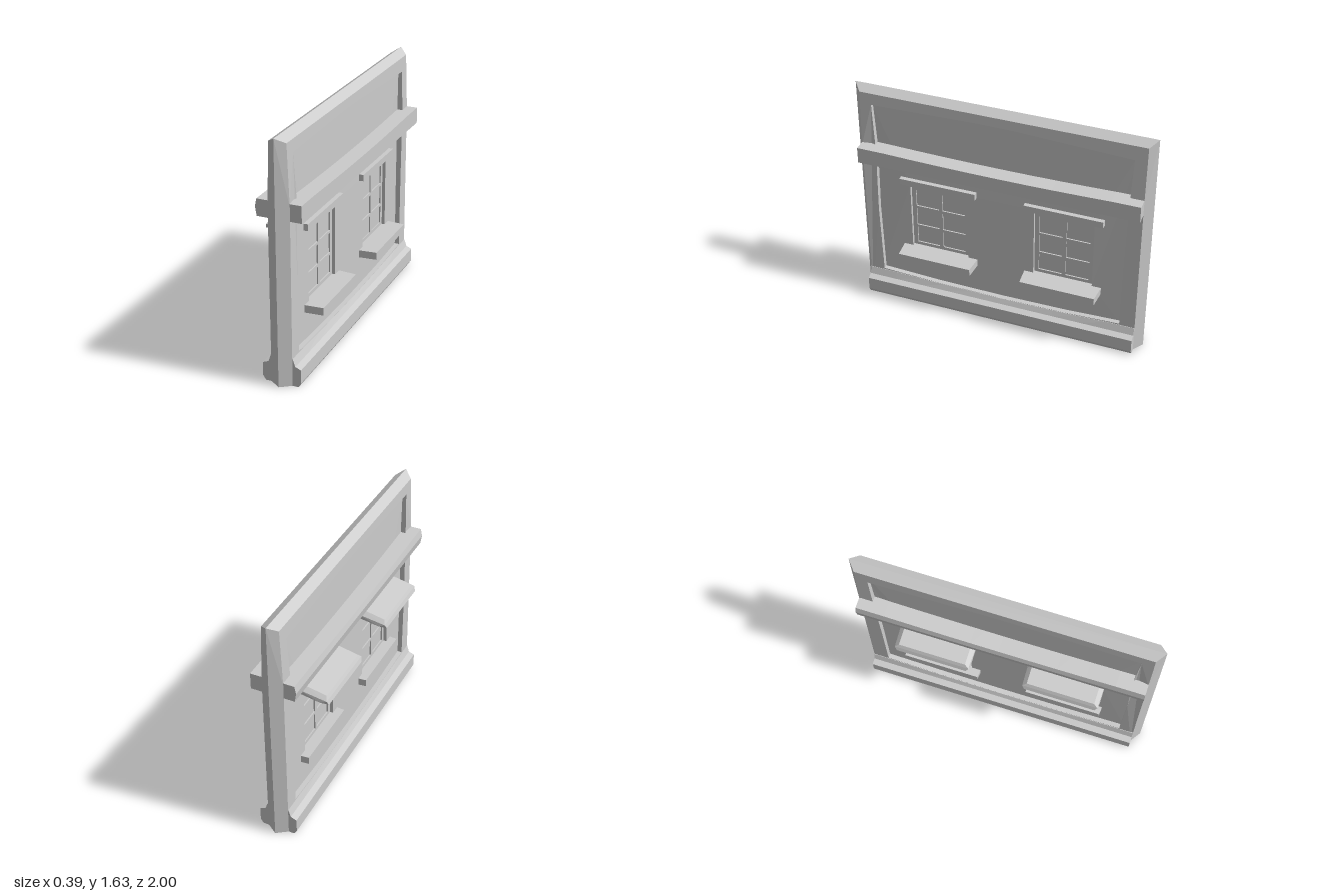
import * as THREE from 'three';
import { ConvexGeometry } from 'three/addons/geometries/ConvexGeometry.js';

const MID = 0.03; // x of the wall's centre plane
const grey = new THREE.MeshStandardMaterial({ color: 0xcccccc, flatShading: true });
const V = (x, y, z) => new THREE.Vector3(x, y, z);

function add(parent, name, geometry) {
  const mesh = new THREE.Mesh(geometry, grey);
  mesh.name = name;
  parent.add(mesh);
  return mesh;
}

const pts = list => list.map(([a, b]) => new THREE.Vector2(a, b));
const rect = (z0, z1, y0, y1) => [[z0, y0], [z1, y0], [z1, y1], [z0, y1]];

// Slab drawn in (z, y), running from x0 to x1
function slab(outline, holes, x0, x1) {
  const shape = new THREE.Shape(pts(outline));
  holes.forEach(h => shape.holes.push(new THREE.Path(pts(h))));
  const g = new THREE.ExtrudeGeometry(shape, { depth: x1 - x0, bevelEnabled: false });
  return g.rotateY(-Math.PI / 2).translate(x1, 0, 0);
}

// Move vertices by a rule
function warp(g, rule) {
  const p = g.attributes.position, v = new THREE.Vector3();
  for (let i = 0; i < p.count; i++) {
    rule(v.fromBufferAttribute(p, i));
    p.setXYZ(i, v.x, v.y, v.z);
  }
  g.computeVertexNormals();
  return g;
}

// The wall becomes thinner above the cornice
const taper = v => {
  if (v.y > 1.2) v.x = MID + (v.x - MID) * (1 - 0.2 * (v.y - 1.2) / 0.39);
};

// Moulding with an (x, y) profile along z whose upper edge sags in the middle
function moulding(profile, yTop, sag) {
  const g = new THREE.ExtrudeGeometry(new THREE.Shape(pts(profile)),
    { depth: 1.9, steps: 10, bevelEnabled: false }).translate(0, 0, -0.95);
  return warp(g, v => {
    if (v.y > yTop) v.y -= sag * Math.abs(1 - (v.z / 0.87) ** 2);
  });
}

// Block between a rectangle at x0 and one at x1 whose ends are drawn in
function taperedBlock(x0, x1, y0, y1, z0, z1, inset) {
  const p = [];
  for (const y of [y0, y1]) {
    p.push(V(x0, y, z0), V(x0, y, z1), V(x1, y, z0 + inset), V(x1, y, z1 - inset));
  }
  return new ConvexGeometry(p);
}

function makeWindow(zc) {
  const g = new THREE.Group();
  g.name = 'window';
  const z0 = zc - 0.203, z1 = zc + 0.203;

  // Frame with two columns and three rows of panes
  const panes = [];
  for (const c of [-0.173, 0.013]) {
    for (const [a, b] of [[0.455, 0.58], [0.6, 0.735], [0.755, 0.885]]) {
      panes.push(rect(zc + c, zc + c + 0.16, a, b));
    }
  }
  add(g, 'windowFrame', slab(rect(z0, z1, 0.42, 0.95), panes, 0.012, 0.048));
  add(g, 'glass', slab(rect(z0, z1, 0.43, 0.94), [], 0.021, 0.039));

  // Sloping head of the opening on both faces
  for (const s of [-1, 1]) {
    const p = [];
    for (const z of [z0, z1]) {
      p.push(V(MID + s * 0.018, 0.915, z), V(MID + s * 0.018, 0.945, z), V(MID + s * 0.04, 0.942, z));
    }
    add(g, 'windowHead', new ConvexGeometry(p));
  }

  // Sills on both faces, flat lintel on one
  const a = zc - 0.268, b = zc + 0.268;
  add(g, 'deepSill', taperedBlock(0.04, 0.195, 0.38, 0.432, a, b, 0.012));
  add(g, 'shallowSill', taperedBlock(0.02, -0.065, 0.38, 0.432, a, b, 0.008));
  add(g, 'lintel', taperedBlock(0.06, 0.1, 0.94, 0.985, a, b, 0.003));

  // Sloping awning with bevelled ends on the other face
  const awning = [];
  for (const s of [-1, 1]) {
    const out = zc + s * 0.256, inn = zc + s * 0.225;
    awning.push(V(0, 0.938, out), V(0, 0.965, out), V(-0.2, 0.9, out - s * 0.02),
      V(-0.19, 0.93, out - s * 0.005), V(-0.15, 0.912, out),
      V(0, 0.993, inn), V(-0.178, 0.955, inn));
  }
  add(g, 'awning', new ConvexGeometry(awning));
  return g;
}

export function createModel() {
  const model = new THREE.Group();
  model.name = 'wallSection';

  // Border of the wall with two slightly uneven recesses
  const outline = [[-0.95, 0], [0.95, 0], [0.95, 1.2], [0.95, 1.59], [-0.95, 1.59], [-0.95, 1.2]];
  const lowerRecess = [[-0.845, 0.195], [-0.45, 0.178], [0, 0.172], [0.45, 0.178], [0.85, 0.195],
    [0.862, 0.7], [0.855, 1.13], [-0.86, 1.13], [-0.85, 0.7]];
  const upperRecess = [[-0.86, 1.2], [0.855, 1.2], [0.872, 1.51], [0.45, 1.52], [0.15, 1.527],
    [-0.1, 1.525], [-0.5, 1.507], [-0.87, 1.492]];
  add(model, 'wallBorder', warp(slab(outline, [lowerRecess, upperRecess], -0.042, 0.102), taper));

  // Panel set back inside the border, open at the windows
  const centres = [0.433, -0.433];
  const openings = centres.map(z => rect(z - 0.203, z + 0.203, 0.43, 0.942));
  const panel = [[-0.9, 0.1], [0.9, 0.1], [0.9, 1.2], [0.9, 1.55], [-0.9, 1.55], [-0.9, 1.2]];
  add(model, 'wallPanel', warp(slab(panel, openings, -0.01, 0.07), taper));

  // Pointed ends and ridged top
  for (const s of [-1, 1]) {
    const p = [V(MID, 0, s), V(MID, 1.627, s)];
    for (const [y, w] of [[0, 0.072], [1.2, 0.072], [1.59, 0.0576]]) {
      p.push(V(MID - w, y, s * 0.95), V(MID + w, y, s * 0.95));
    }
    add(model, 'wallEnd', new ConvexGeometry(p));
  }
  const ridge = [];
  for (const s of [-1, 1]) {
    ridge.push(V(MID, 1.627, s), V(MID - 0.0576, 1.59, s * 0.95), V(MID + 0.0576, 1.59, s * 0.95));
  }
  add(model, 'wallRidge', new ConvexGeometry(ridge));

  // Plinth and cornice
  add(model, 'plinth', moulding([[-0.08, 0], [0.142, 0], [0.16, 0.03], [0.16, 0.122], [0.122, 0.138],
    [0.105, 0.19], [-0.045, 0.19], [-0.06, 0.138], [-0.1, 0.122], [-0.1, 0.03]], 0.18, 0.018));
  add(model, 'cornice', moulding([[-0.115, 1.105], [0.178, 1.105], [0.178, 1.22], [-0.115, 1.22],
    [-0.125, 1.165]], 1.2, 0.016));

  centres.forEach(z => model.add(makeWindow(z)));
  return model;
}
